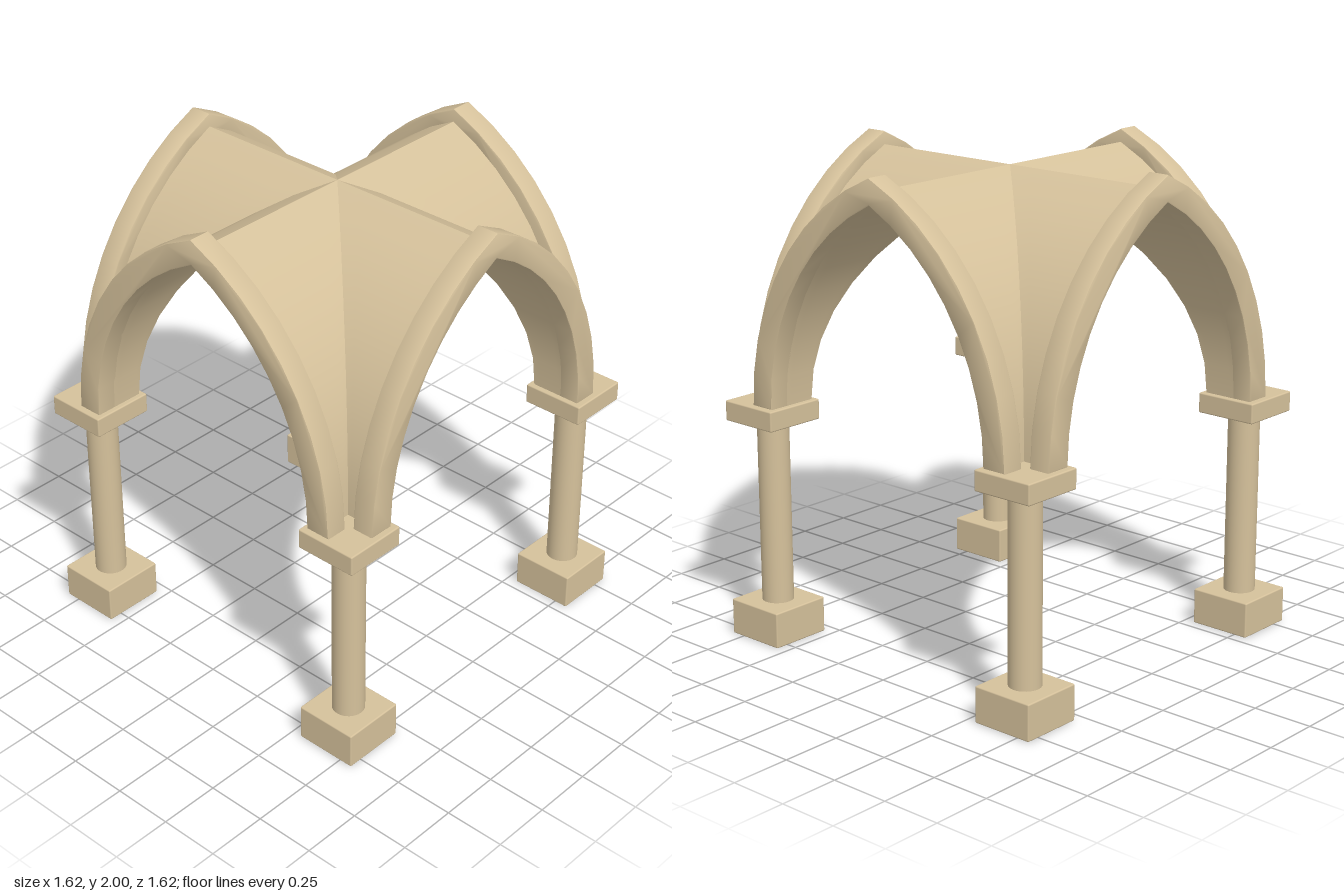
import * as THREE from 'three';
import { toCreasedNormals } from 'three/addons/utils/BufferGeometryUtils.js';
import { RoundedBoxGeometry } from 'three/addons/geometries/RoundedBoxGeometry.js';

const SPRING = 1;      // height where the arches start
const PILLAR = 0.676;  // pillar distance from the centre planes
const STEPS = 9;       // segments per half arch

// Pointed arch from left spring over the apex to right spring: two arcs, vertical at the spring.
function archPoints(halfSpan, rise) {
  const c = (rise * rise - halfSpan * halfSpan) / (2 * halfSpan);
  const r = halfSpan + c;
  const sweep = Math.atan2(rise, c);
  const left = [];
  for (let i = 0; i <= STEPS; i++) {
    const a = (sweep * i) / STEPS;
    left.push(new THREE.Vector2(i === STEPS ? 0 : c - r * Math.cos(a), SPRING + r * Math.sin(a)));
  }
  const right = left.slice(0, -1).reverse().map((p) => new THREE.Vector2(-p.x, p.y));
  return [...left, ...right];
}

// Arched rib on the front side, with softened edges
function ribGeometry() {
  const bevel = 0.006;
  const outline = [...archPoints(0.67, 1.0), ...archPoints(0.565, 0.895).reverse()];
  const geo = new THREE.ExtrudeGeometry(new THREE.Shape(outline), {
    depth: 0.095 - 2 * bevel,
    bevelThickness: bevel,
    bevelSize: bevel,
    bevelOffset: -bevel,
    bevelSegments: 2,
  });
  geo.translate(0, 0, 0.69 + bevel);
  return toCreasedNormals(geo, 0.65);
}

// Front quarter of a groin vault surface: from the diagonal groins out to the rib
function vaultGeometry(halfSpan, rise) {
  const profile = archPoints(halfSpan, rise);
  const cols = 6;
  const positions = [];
  const index = [];
  profile.forEach((p, i) => {
    for (let j = 0; j <= cols; j++) {
      positions.push(p.x, p.y, THREE.MathUtils.lerp(Math.abs(p.x), 0.7, j / cols));
      if (i < profile.length - 1 && j < cols) {
        const a = i * (cols + 1) + j;
        const b = a + cols + 1;
        index.push(a, a + 1, b + 1, a, b + 1, b);
      }
    }
  });
  const geo = new THREE.BufferGeometry();
  geo.setAttribute('position', new THREE.Float32BufferAttribute(positions, 3));
  geo.setIndex(index);
  return toCreasedNormals(geo, 0.5);
}

export function createModel() {
  const stone = new THREE.MeshStandardMaterial({ color: 0xd5c19b, side: THREE.DoubleSide });
  stone.name = 'sandstone';

  const model = new THREE.Group();
  model.name = 'vaultedCanopy';
  const add = (parent, name, geo, y = 0) => {
    const mesh = new THREE.Mesh(geo, stone);
    mesh.name = name;
    mesh.position.y = y;
    parent.add(mesh);
  };

  const base = new RoundedBoxGeometry(0.266, 0.15, 0.266, 2, 0.006);
  const capital = new RoundedBoxGeometry(0.266, 0.084, 0.266, 2, 0.006);
  const shaft = new THREE.CylinderGeometry(0.065, 0.065, 0.79, 32);
  const rib = ribGeometry();
  const vaultTop = vaultGeometry(0.6175, 0.945);
  const vaultSoffit = vaultGeometry(0.565, 0.895); // flush with the inside of the ribs

  // Four pillars
  for (const sx of [-1, 1]) {
    for (const sz of [-1, 1]) {
      const pillar = new THREE.Group();
      pillar.name = `pillar${sz > 0 ? 'Front' : 'Back'}${sx > 0 ? 'Left' : 'Right'}`;
      pillar.position.set(sx * PILLAR, 0, sz * PILLAR);
      add(pillar, 'base', base, 0.075);
      add(pillar, 'shaft', shaft, 0.535);
      add(pillar, 'capital', capital, 0.958);
      model.add(pillar);
    }
  }

  // Four sides, each with a rib and a quarter of the vault shell
  ['front', 'left', 'back', 'right'].forEach((side, i) => {
    const bay = new THREE.Group();
    bay.name = `${side}Bay`;
    bay.rotation.y = (i * Math.PI) / 2;
    add(bay, 'archRib', rib);
    add(bay, 'vaultTop', vaultTop);
    add(bay, 'vaultSoffit', vaultSoffit);
    model.add(bay);
  });

  return model;
}
